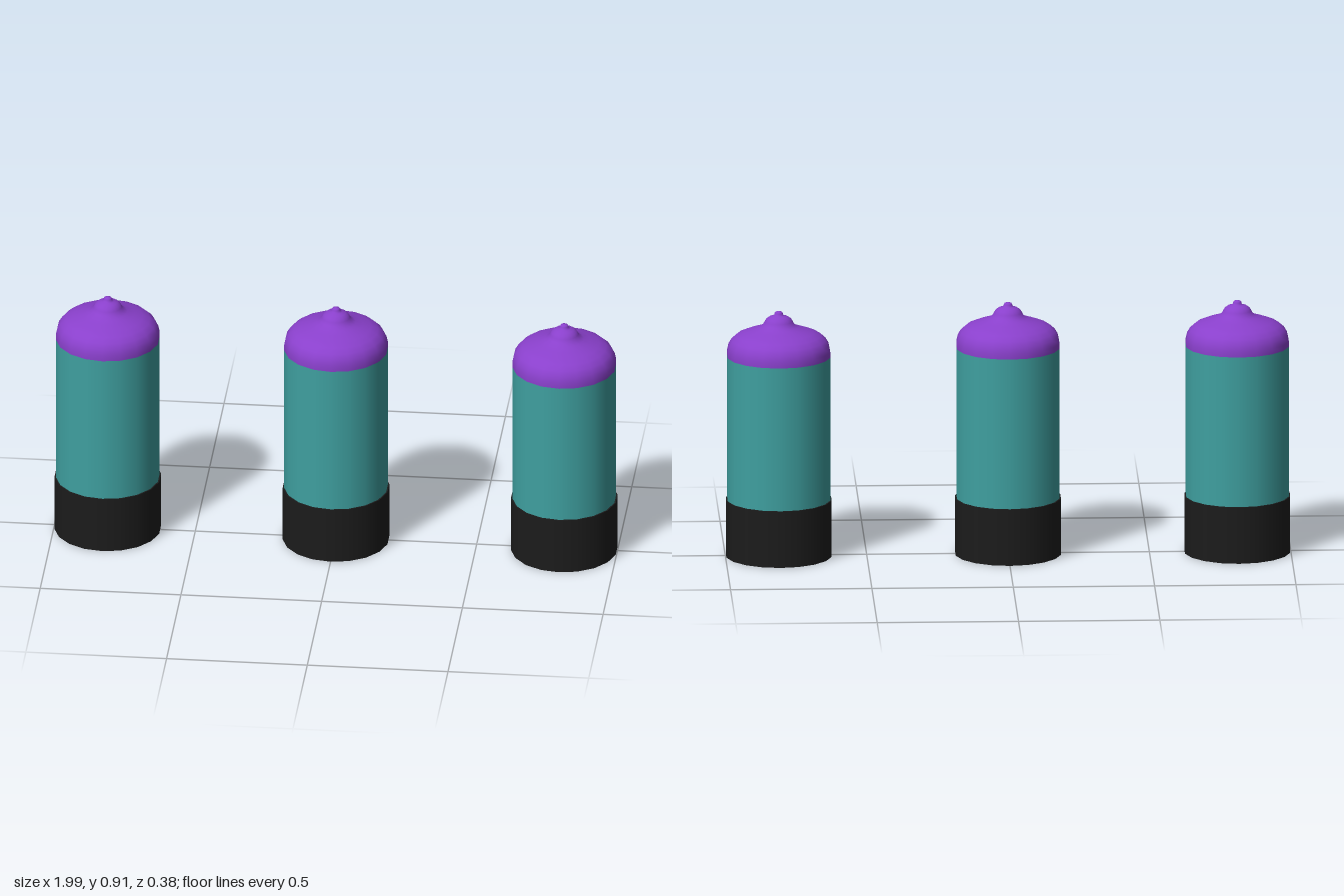
import * as THREE from 'three';

const SIDES = 18;
const teal = new THREE.MeshStandardMaterial({ color: 0x3fa0a0 });
const purple = new THREE.MeshStandardMaterial({ color: 0x8a40cc });
const black = new THREE.MeshStandardMaterial({ color: 0x1c1c1c });

// Domed lid with a small stepped nipple; heights measured from the lid's rim
const LID_PROFILE = [
  [0.184, 0], [0.184, 0.02], [0.179, 0.042], [0.168, 0.06], [0.15, 0.076],
  [0.125, 0.087], [0.095, 0.097], [0.07, 0.106], [0.056, 0.115], [0.05, 0.126],
  [0.044, 0.136], [0.034, 0.143], [0.022, 0.147], [0.016, 0.15], [0.015, 0.156],
  [0.012, 0.161], [0, 0.164],
].map(([r, y]) => new THREE.Vector2(r, y));

function part(name, geometry, material, y) {
  const mesh = new THREE.Mesh(geometry, material);
  mesh.name = name;
  mesh.position.y = y;
  return mesh;
}

function canister(name, x, bodyTop) {
  const group = new THREE.Group();
  group.name = name;
  group.position.x = x;
  const baseHeight = 0.205;
  const bodyHeight = bodyTop - baseHeight;
  group.add(
    part('base', new THREE.CylinderGeometry(0.189, 0.189, baseHeight, SIDES), black, baseHeight / 2),
    part('body', new THREE.CylinderGeometry(0.184, 0.184, bodyHeight, SIDES), teal, baseHeight + bodyHeight / 2),
    part('lid', new THREE.LatheGeometry(LID_PROFILE, SIDES), purple, bodyTop),
  );
  return group;
}

export function createModel() {
  const model = new THREE.Group();
  model.name = 'canisterRow';
  // The left canister is slightly shorter than the other two
  model.add(
    canister('rightCanister', -0.811, 0.75),
    canister('middleCanister', 0, 0.75),
    canister('leftCanister', 0.811, 0.725),
  );
  return model;
}
